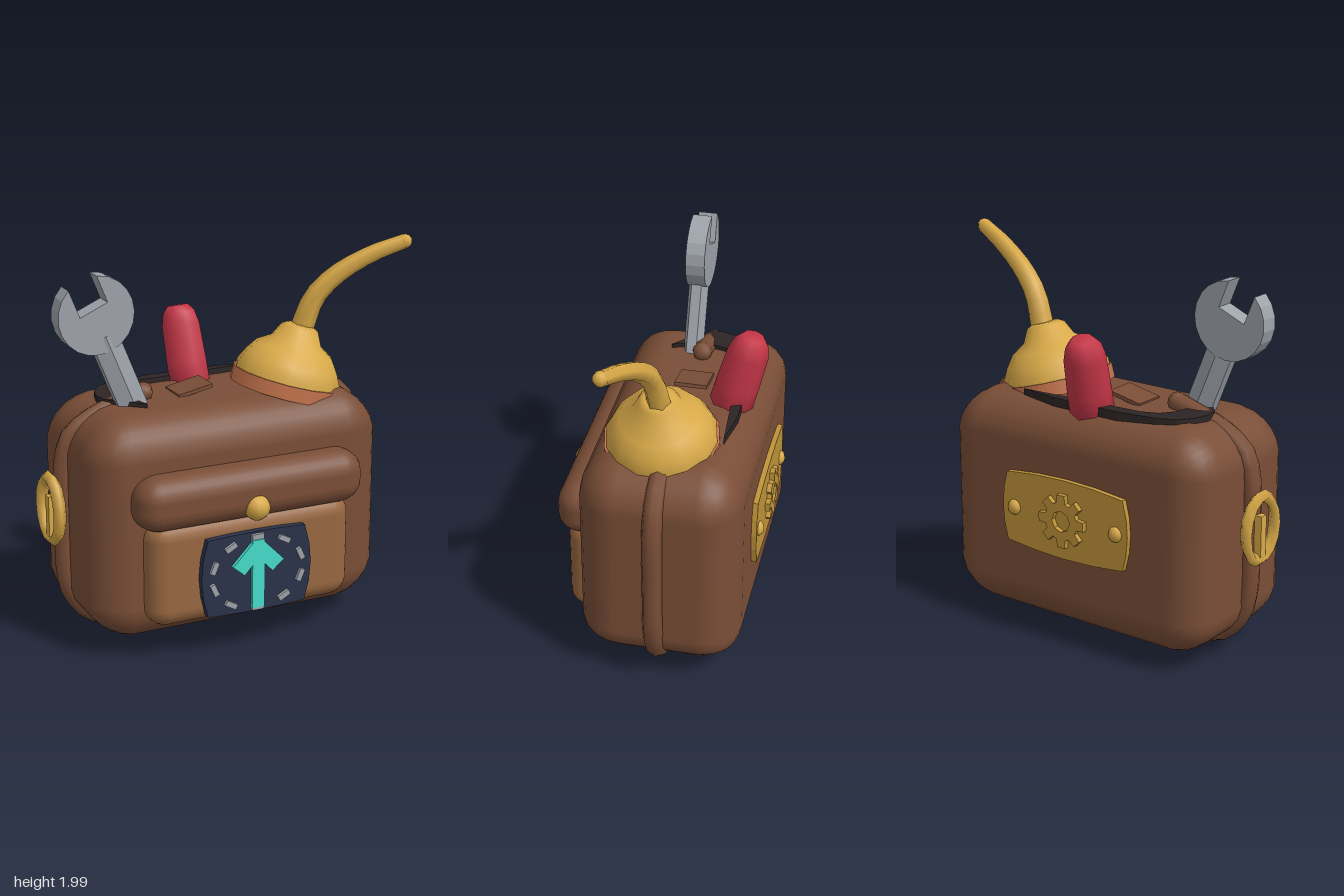
import * as THREE from 'three';
import { RoundedBoxGeometry } from 'three/addons/geometries/RoundedBoxGeometry.js';

const V = (x, y, z = 0) => new THREE.Vector3(x, y, z);
const CX = -0.07; // middle of the bag

function makeMaterials() {
  const colors = {
    leather: 0x7a4e37, pocketLeather: 0x996841, lining: 0x2e2525, brass: 0xd8a948, darkBrass: 0xc09439,
    copper: 0xc4734d, steel: 0x9ea3aa, red: 0xc43647, navy: 0x2a324a, teal: 0x46dccb,
  };
  const mats = {};
  for (const [name, color] of Object.entries(colors)) {
    mats[name] = new THREE.MeshStandardMaterial({ color });
    mats[name].name = name;
  }
  return mats;
}

// Shape from [x, y] pairs
const shapeOf = (pts) => new THREE.Shape(pts.map(([x, y]) => new THREE.Vector2(x, y)));
const slab = (shape, depth) => new THREE.ExtrudeGeometry(shape, { depth, bevelEnabled: false, curveSegments: 4 });
const lathe = (pts, sides) => new THREE.LatheGeometry(pts.map(([x, y]) => new THREE.Vector2(x, y)), sides);

// Rounded box whose outline narrows toward its corners
function softBox(w, h, d, r, pull) {
  const geo = new RoundedBoxGeometry(w, h, d, 3, r);
  const p = geo.attributes.position;
  for (let i = 0; i < p.count; i++) {
    const x = p.getX(i), y = p.getY(i), z = p.getZ(i);
    const nx = Math.abs(2 * x / w) ** 4, ny = Math.abs(2 * y / h) ** 4;
    p.setXYZ(i, x * (1 - pull * ny), y * (1 - pull * nx), z * (1 - 0.6 * pull * ny));
  }
  return geo;
}

// Plate whose four edges bow outward
function barrelShape(w, h, bowX, bowY) {
  const x = w / 2, y = h / 2, s = new THREE.Shape();
  s.moveTo(-x, -y);
  s.quadraticCurveTo(0, -y - 2 * bowY, x, -y);
  s.quadraticCurveTo(x + 2 * bowX, 0, x, y);
  s.quadraticCurveTo(0, y + 2 * bowY, -x, y);
  s.quadraticCurveTo(-x - 2 * bowX, 0, -x, -y);
  return s;
}

// Tube that narrows from r0 to r1
function taperedTube(curve, n, r0, r1, sides) {
  const geo = new THREE.TubeGeometry(curve, n, 1, sides);
  const p = geo.attributes.position, v = V(0, 0);
  for (let i = 0; i < p.count; i++) {
    const t = Math.floor(i / (sides + 1)) / n;
    const c = curve.getPointAt(t);
    v.fromBufferAttribute(p, i).sub(c).multiplyScalar(r0 + (r1 - r0) * t).add(c);
    p.setXYZ(i, v.x, v.y, v.z);
  }
  return geo;
}

export function createModel() {
  const root = new THREE.Group();
  root.name = 'toolBag';
  const m = makeMaterials();
  const add = (name, geo, mat, x = 0, y = 0, z = 0, parent = root) => {
    const mesh = new THREE.Mesh(geo, mat);
    mesh.name = name;
    mesh.position.set(x, y, z);
    parent.add(mesh);
    return mesh;
  };
  const group = (name, x, y, z) => {
    const g = new THREE.Group();
    g.name = name;
    g.position.set(x, y, z);
    root.add(g);
    return g;
  };

  // Bag body, with the dark opening showing along the top
  add('bagBody', softBox(1.65, 1.205, 0.835, 0.21, 0.075), m.leather, CX, 0.6625, -0.068);
  const opening = slab(shapeOf([[-0.5, -0.11], [-0.6, -0.02], [-0.67, 0.06], [-0.68, 0.13], [-0.66, 0.21], [-0.6, 0.29],
    [-0.5, 0.33], [-0.29, 0.36], [0.1, 0.36], [0.32, 0.33], [-0.08, 0.3], [-0.38, 0.285], [-0.47, 0.25],
    [-0.52, 0.18], [-0.54, 0.1], [-0.53, 0]]), 0.055);
  opening.rotateX(-Math.PI / 2);
  add('opening', opening, m.lining, 0, 1.218, 0);
  const fold = add('topFold', new THREE.BoxGeometry(0.19, 0.02, 0.17), m.leather, -0.19, 1.27, -0.075);
  fold.rotation.z = 0.2;

  // Strap running round the sides and under the bag
  const strapPath = new THREE.CatmullRomCurve3([[-0.45, 1.28], [-0.6, 1.235], [-0.74, 1.18], [-0.85, 1.1], [-0.89, 0.97],
    [-0.895, 0.65], [-0.89, 0.37], [-0.855, 0.25], [-0.75, 0.13], [-0.61, 0.085], [-0.35, 0.065], [CX, 0.06],
    [0.21, 0.065], [0.47, 0.085], [0.61, 0.13], [0.715, 0.25], [0.75, 0.37], [0.757, 0.65], [0.755, 0.97],
    [0.71, 1.1], [0.62, 1.18], [0.45, 1.24]].map(([x, y]) => V(x, y, -0.065)));
  add('strap', new THREE.TubeGeometry(strapPath, 56, 0.052, 8), m.leather);
  add('strapEnd', new THREE.SphereGeometry(0.052, 8, 6), m.leather, -0.45, 1.28, -0.065);

  // Front pocket, its flap and button
  add('pocket', softBox(1.13, 0.57, 0.3, 0.1, 0.02), m.pocketLeather, CX, 0.47, 0.3);
  add('pocketFlap', softBox(1.25, 0.29, 0.25, 0.115, 0.035), m.leather, CX, 0.845, 0.365);
  add('button', new THREE.SphereGeometry(0.068, 10, 8), m.brass, CX, 0.78, 0.472);

  // Dial panel with ticks and an arrow
  const dial = group('dial', -0.075, 0.442, 0.44);
  add('dialPanel', slab(barrelShape(0.54, 0.41, 0.035, 0.009), 0.045), m.navy, 0, 0, 0, dial);
  for (let i = 0; i < 10; i++) {
    const a = Math.PI / 2 + i * Math.PI / 5;
    const c = Math.cos(a), s = Math.sin(a);
    const tick = add('tick', new THREE.BoxGeometry(0.066, 0.028, 0.02), m.steel, 0.252 * c, 0.19 * s, 0.053, dial);
    tick.rotation.z = Math.atan2(0.19 * c, -0.252 * s);
  }
  const half = [[0.034, -0.19], [0.034, 0.042], [0.078, -0.004], [0.142, 0.05], [0.034, 0.16], [0.034, 0.175]];
  const arrow = [...half, ...half.map(([x, y]) => [-x, y]).reverse()];
  add('arrow', slab(shapeOf(arrow), 0.022), m.teal, 0, 0, 0.044, dial);

  // Brass plate on the back with a gear and two rivets
  const plate = group('backPlate', -0.075, 0.7, -0.475);
  plate.rotation.y = Math.PI;
  add('plate', slab(barrelShape(0.73, 0.37, 0.03, 0.025), 0.034), m.darkBrass, 0, 0, 0, plate);
  const gearPts = [];
  for (let i = 0; i < 8; i++) {
    for (const [da, r] of [[-0.27, 0.1], [-0.17, 0.142], [0.17, 0.142], [0.27, 0.1]]) {
      const a = i * Math.PI / 4 + da;
      gearPts.push([r * Math.cos(a), r * Math.sin(a)]);
    }
  }
  const gear = shapeOf(gearPts);
  gear.holes.push(new THREE.Path().absarc(0, 0, 0.056, 0, Math.PI * 2, true));
  add('gear', slab(gear, 0.03), m.darkBrass, 0, 0, 0.03, plate);
  for (const x of [-0.32, 0.32]) {
    const rivet = add('rivet', new THREE.SphereGeometry(0.042, 8, 6), m.brass, x, 0, 0.03, plate);
    rivet.scale.z = 0.75;
  }

  // Brass side ring with its prong
  const ring = group('sideRing', -0.958, 0.73, -0.075);
  ring.rotation.y = Math.PI / 2;
  const hoop = add('hoop', new THREE.TorusGeometry(0.165, 0.034, 4, 14), m.brass, 0, 0, 0, ring);
  hoop.scale.x = 0.79;
  add('prong', new THREE.BoxGeometry(0.045, 0.24, 0.04), m.brass, 0, -0.05, 0, ring);

  // Wrench: round head with a notch, on a faceted shaft
  const wrench = group('wrench', -0.735, 1.735, 0);
  wrench.rotation.z = 0.38;
  const head = [[-0.08, 0.03], [-0.08, 0.183]];
  const start = Math.atan2(0.183, -0.08), sweep = Math.PI * 2 - 2 * (start - Math.PI / 2);
  for (let i = 1; i < 18; i++) {
    const a = start + sweep * i / 18;
    head.push([0.2 * Math.cos(a), 0.2 * Math.sin(a)]);
  }
  head.push([0.078, 0.183], [0.078, 0.035]);
  add('wrenchHead', slab(shapeOf(head), 0.1), m.steel, 0, 0, -0.053, wrench);
  const shaft = new THREE.CylinderGeometry(0.07, 0.07, 0.5, 6).toNonIndexed();
  shaft.scale(1.2, 1, 0.75).computeVertexNormals();
  add('wrenchShaft', shaft, m.steel, 0, -0.37, 0, wrench);

  // Red tool handle leaning back
  const handle = add('redHandle', lathe([[0, -0.1], [0.115, -0.1], [0.112, 0.1], [0.106, 0.29], [0.09, 0.355],
    [0.058, 0.393], [0, 0.395]], 8), m.red, -0.09, 1.24, -0.295);
  handle.rotation.set(-0.26, 0, 0.05);

  // Oil can tipped sideways, copper rim and curved spout
  const can = group('oilCan', 0.345, 1.265, -0.025);
  can.rotation.z = -0.28;
  add('canBody', lathe([[0.28, -0.05], [0.28, 0.03], [0.25, 0.09], [0.205, 0.155], [0.135, 0.2],
    [0.1, 0.27], [0.07, 0.287], [0, 0.29]], 14), m.brass, 0, 0, 0, can);
  add('canRim', new THREE.CylinderGeometry(0.292, 0.292, 0.075, 14), m.copper, 0, -0.033, 0, can);
  const spoutPath = new THREE.CatmullRomCurve3([V(0.43, 1.5, -0.035), V(0.495, 1.68, -0.015), V(0.605, 1.795, 0.015),
    V(0.78, 1.897, 0.065), V(0.955, 1.962, 0.12)]);
  add('spout', taperedTube(spoutPath, 10, 0.062, 0.038, 6), m.brass);
  add('spoutTip', new THREE.SphereGeometry(0.039, 7, 5), m.brass, 0.95, 1.96, 0.119);

  return root;
}
